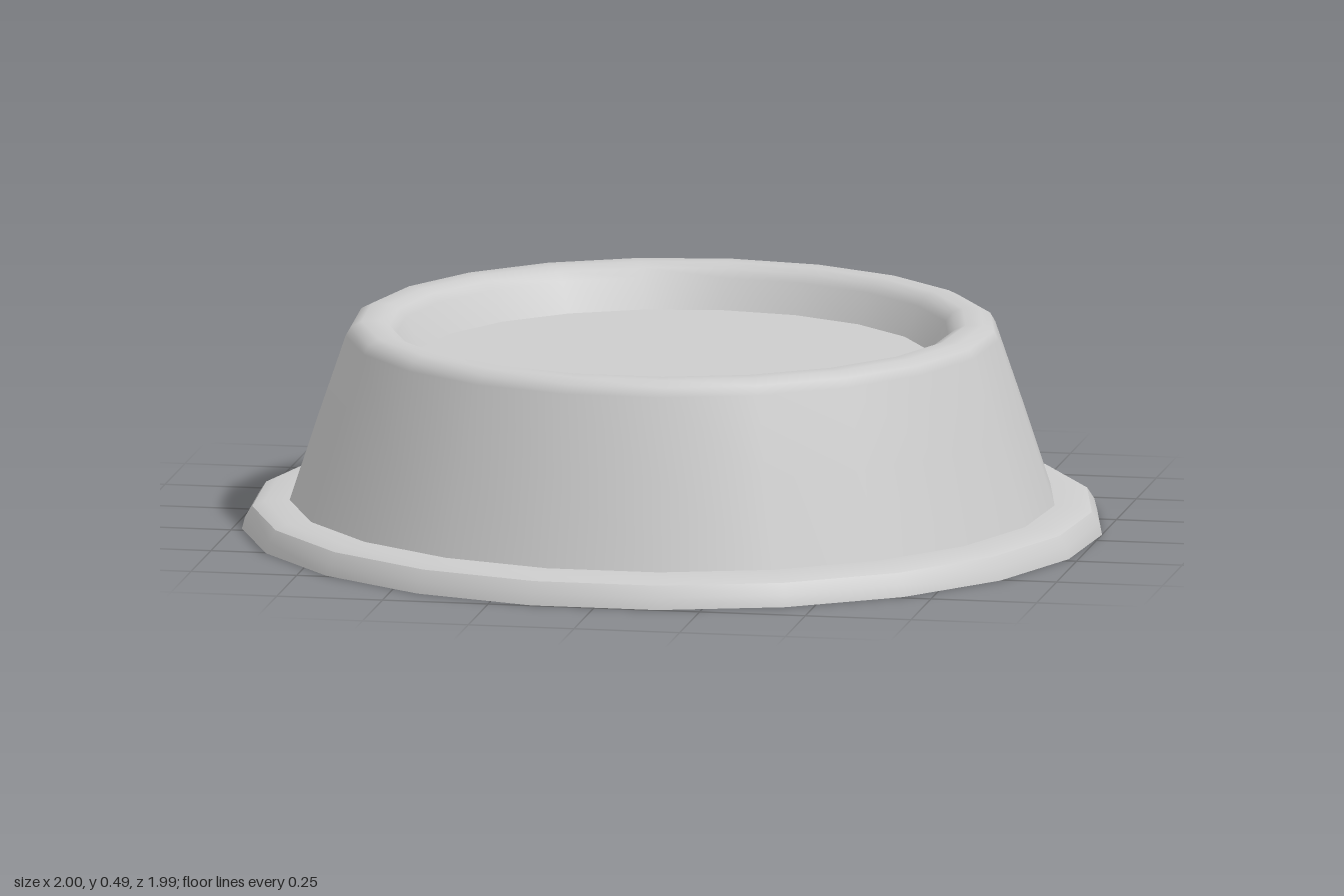
import * as THREE from 'three';

const SIDES = 21;

export function createModel() {
  const group = new THREE.Group();
  group.name = 'bowl';
  const grey = new THREE.MeshStandardMaterial({ color: 0xcccccc });
  grey.name = 'light grey';

  // Each part is a smooth band turned around y; edges between parts stay sharp
  function turned(name, profile) {
    const points = profile.map(([r, y]) => new THREE.Vector2(r, y));
    const mesh = new THREE.Mesh(new THREE.LatheGeometry(points, SIDES, Math.PI), grey);
    mesh.name = name;
    mesh.position.z = 0.0056; // the odd side count is off-centre in z
    group.add(mesh);
  }

  // Flat underside
  turned('underside', [[0, 0], [1.003, 0]]);
  // Flared foot: rounded edge and its nearly flat top
  turned('footEdge', [[1.003, 0], [0.996, 0.027], [0.979, 0.053]]);
  turned('footTop', [[0.979, 0.053], [0.95, 0.065], [0.892, 0.067]]);
  // Sloping wall running over the rounded rim and down the inside
  turned('wallAndRim', [
    [0.892, 0.067], [0.825, 0.27], [0.762, 0.455], [0.75, 0.476], [0.725, 0.489],
    [0.684, 0.489], [0.66, 0.479], [0.644, 0.459], [0.608, 0.39],
  ]);
  // Flat inner floor
  turned('floor', [[0.608, 0.39], [0, 0.39]]);

  return group;
}
